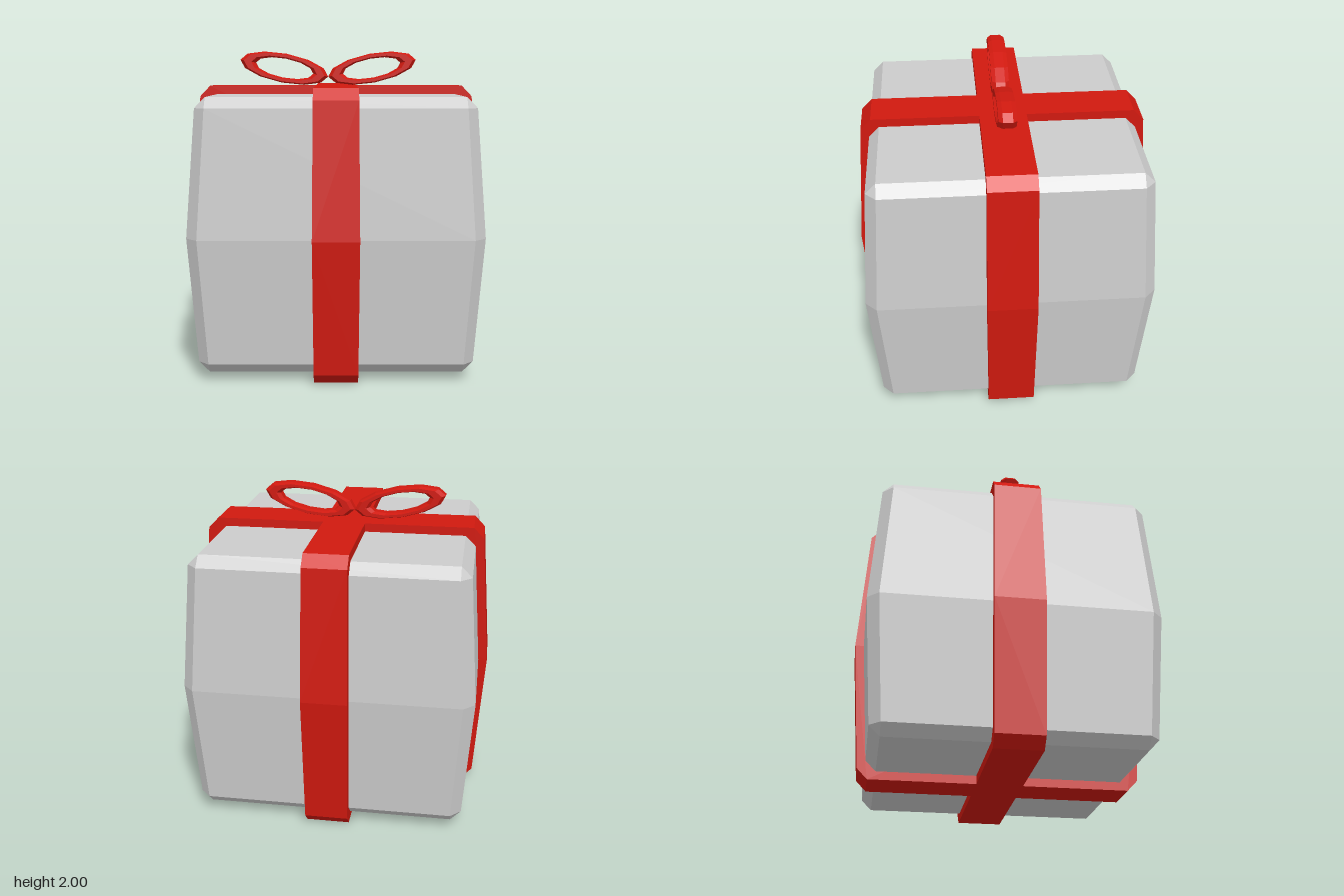
import * as THREE from 'three';
import { ConvexGeometry } from 'three/addons/geometries/ConvexGeometry.js';

const MID = 0.89; // height of the widest level

export function createModel() {
  const group = new THREE.Group();
  const paper = new THREE.MeshStandardMaterial({ color: 0xcccccc, flatShading: true });
  const red = new THREE.MeshStandardMaterial({ color: 0xd0190f, flatShading: true });

  const add = (name, geometry, material) => {
    const mesh = new THREE.Mesh(geometry, material);
    mesh.name = name;
    group.add(mesh);
    return mesh;
  };

  // Calls fn with every sign combination of a corner
  const signs = (fn) => {
    for (const sx of [-1, 1]) for (const sy of [-1, 1]) for (const sz of [-1, 1]) fn(sx, sy, sz);
  };

  // Bulging box with chamfered edges: [height from middle, half width, half width at the cut corner]
  const boxPoints = [];
  for (const [h, a, b] of [[0.835, 0.77, 0.77], [0.77, 0.835, 0.77], [0, 0.89, 0.82]]) {
    signs((sx, sy, sz) => {
      boxPoints.push(new THREE.Vector3(sx * a, MID + sy * h, sz * b));
      boxPoints.push(new THREE.Vector3(sx * b, MID + sy * h, sz * a));
    });
  }
  add('giftBox', new ConvexGeometry(boxPoints), paper);

  // Ribbon band running around the box, a little wider at the middle
  const band = (endWidth, midWidth) => {
    const points = [];
    for (const [h, x, w] of [[0.888, 0.82, endWidth], [0.82, 0.885, endWidth], [0, 0.945, midWidth]]) {
      signs((sx, sy, sz) => points.push(new THREE.Vector3(sx * x, MID + sy * h, sz * w)));
    }
    return new ConvexGeometry(points);
  };
  add('sideRibbon', band(0.147, 0.155), red);
  add('frontRibbon', band(0.134, 0.141).rotateY(Math.PI / 2), red);

  // Bow loop: flattened ring with a chamfered section
  const R = 0.245, r = 0.05, t = 0.055, c = 0.025;
  const section = [
    [r - c, -t], [r, c - t], [r, t - c], [r - c, t],
    [c - r, t], [-r, t - c], [-r, c - t], [c - r, -t], [r - c, -t],
  ].map(([x, y]) => new THREE.Vector2(R + x, y));
  const loop = new THREE.LatheGeometry(section, 12).rotateX(Math.PI / 2).scale(1, 0.325, 1);
  for (const [name, side] of [['leftBowLoop', 1], ['rightBowLoop', -1]]) {
    const mesh = add(name, loop, red);
    mesh.position.set(-0.052 + side * 0.29, 1.891, 0);
    mesh.rotation.z = side * 0.19;
  }

  return group;
}
